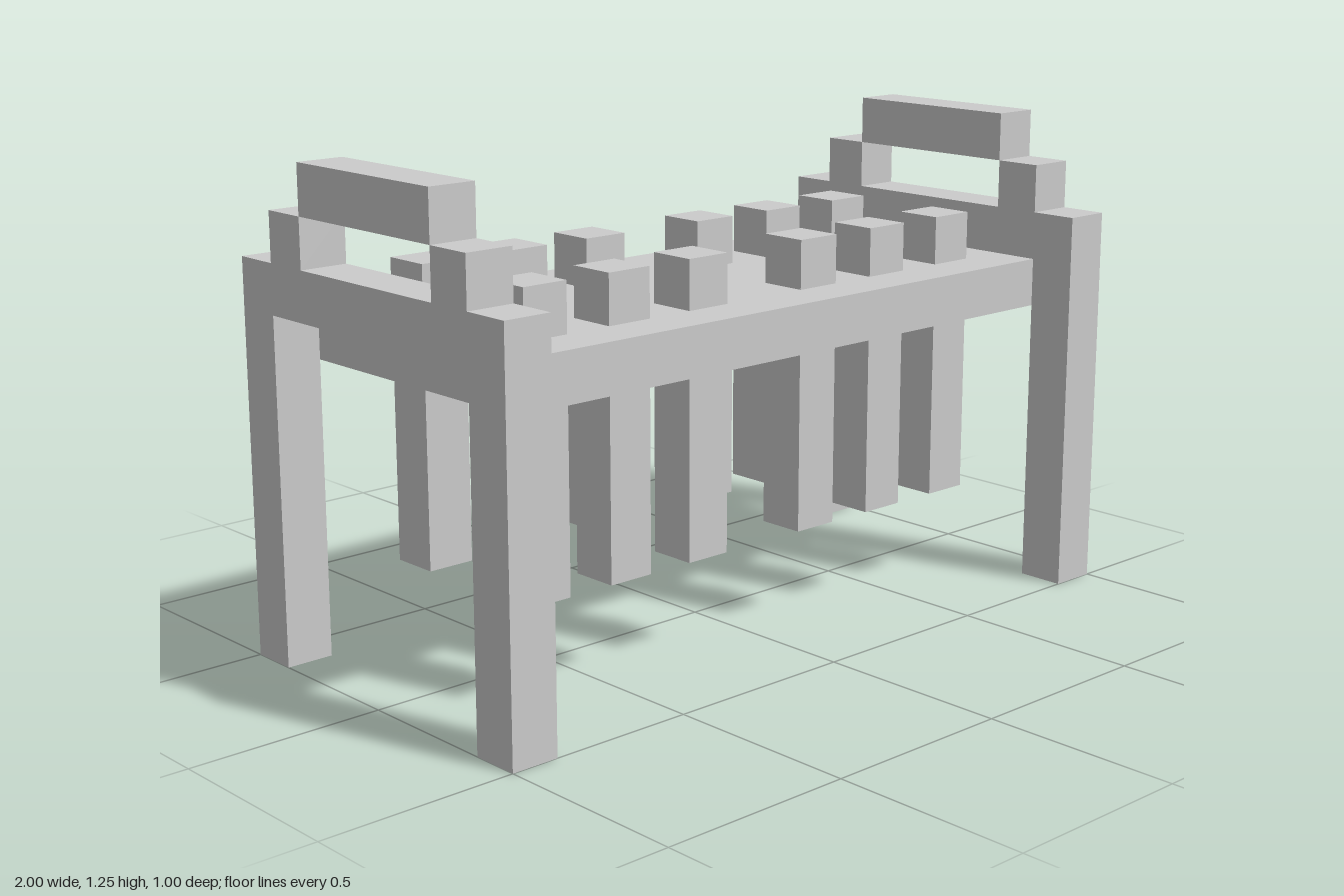
import * as THREE from 'three';

const U = 0.125; // thickness shared by every beam
const material = new THREE.MeshStandardMaterial({ color: 0xcccccc, flatShading: true });

// Box standing on height y0, centred on x and z
function addBox(parent, name, [w, h, d], [x, y0, z]) {
  const mesh = new THREE.Mesh(new THREE.BoxGeometry(w, h, d), material);
  mesh.name = name;
  mesh.position.set(x, y0 + h / 2, z);
  parent.add(mesh);
}

// End frame: two posts, a cross rail and a stepped handle on top
function createEndFrame(name, x) {
  const frame = new THREE.Group();
  frame.name = name;
  frame.position.x = x;
  for (const s of [1, -1]) {
    addBox(frame, 'post', [U, 1, U], [0, 0, s * 3.5 * U]);
    addBox(frame, 'handleStep', [U, U, U], [0, 1, s * 2.5 * U]);
  }
  addBox(frame, 'crossRail', [U, U, 6 * U], [0, 7 * U, 0]);
  addBox(frame, 'handleBar', [U, U, 4 * U], [0, 9 * U, 0]);
  return frame;
}

export function createModel() {
  const model = new THREE.Group();
  model.name = 'pegTable';

  model.add(createEndFrame('leftEndFrame', 7.5 * U), createEndFrame('rightEndFrame', -7.5 * U));

  // Board between the end frames
  addBox(model, 'board', [14 * U, U, 6 * U], [0, 6 * U, 0]);

  // Two rows of six pegs passing through the board
  for (const side of [1, -1])
    for (const row of [1, -1])
      for (const step of [1.5, 3.5, 5.5])
        addBox(model, 'peg', [U, 6 * U, U], [side * step * U, 2 * U, row * 1.5 * U]);

  return model;
}
